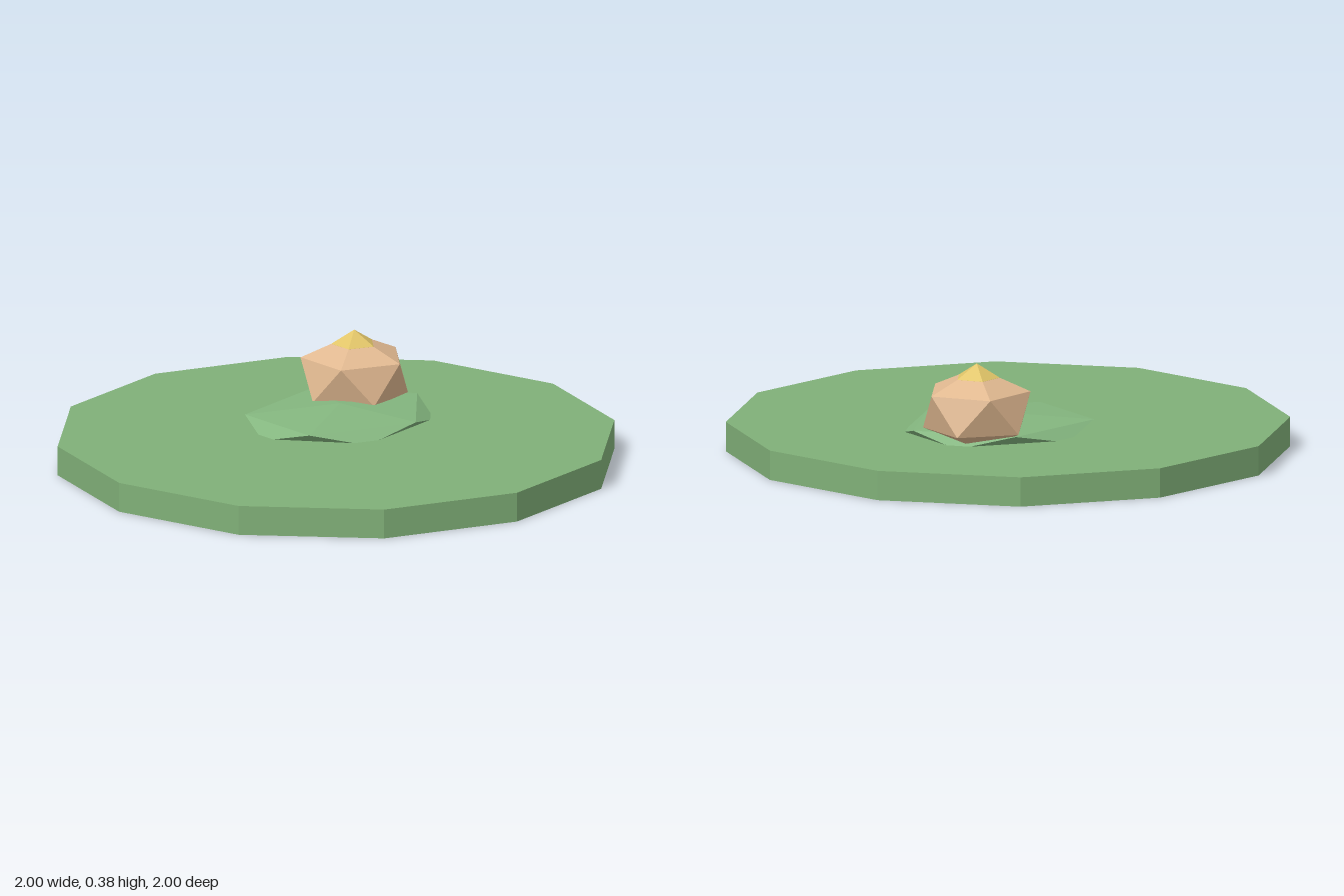
import * as THREE from 'three';
import { ConvexGeometry } from 'three/addons/geometries/ConvexGeometry.js';

const flat = (name, color) => {
  const m = new THREE.MeshStandardMaterial({ color, flatShading: true });
  m.name = name;
  return m;
};

// Icosahedron standing on a corner: two poles and two staggered rings of five
function uprightIcosahedron() {
  const h = 1 / Math.sqrt(5), r = 2 / Math.sqrt(5);
  const points = [new THREE.Vector3(0, 1, 0), new THREE.Vector3(0, -1, 0)];
  for (let i = 0; i < 5; i++) {
    const a = (i * 2 * Math.PI) / 5;
    const x = r * Math.cos(a), z = r * Math.sin(a);
    points.push(new THREE.Vector3(x, h, z), new THREE.Vector3(-x, -h, -z));
  }
  return new ConvexGeometry(points);
}

export function createModel() {
  const model = new THREE.Group();
  model.name = 'lilyPadWithFlower';

  const padGreen = flat('padGreen', 0x80b078);
  const leafGreen = flat('leafGreen', 0x84b67f);
  const petalPeach = flat('petalPeach', 0xe0b890);
  const heartYellow = flat('heartYellow', 0xe0c468);

  // Twelve-sided base disc
  const pad = new THREE.Mesh(new THREE.CylinderGeometry(1, 1, 0.106, 12), padGreen);
  pad.name = 'pad';
  pad.position.y = 0.053;
  model.add(pad);

  const addBlob = (name, material, position, radii) => {
    const geometry = uprightIcosahedron().scale(...radii);
    const mesh = new THREE.Mesh(geometry, material);
    mesh.name = name;
    mesh.position.set(...position);
    model.add(mesh);
  };

  // Flattened leaf, flower and flower heart
  addBlob('leaf', leafGreen, [0.119, 0.118, -0.122], [0.399, 0.05, 0.338]);
  addBlob('flower', petalPeach, [0.284, 0.217, -0.24], [0.213, 0.151, 0.213]);
  addBlob('flowerHeart', heartYellow, [0.284, 0.292, -0.24], [0.091, 0.091, 0.091]);

  return model;
}
